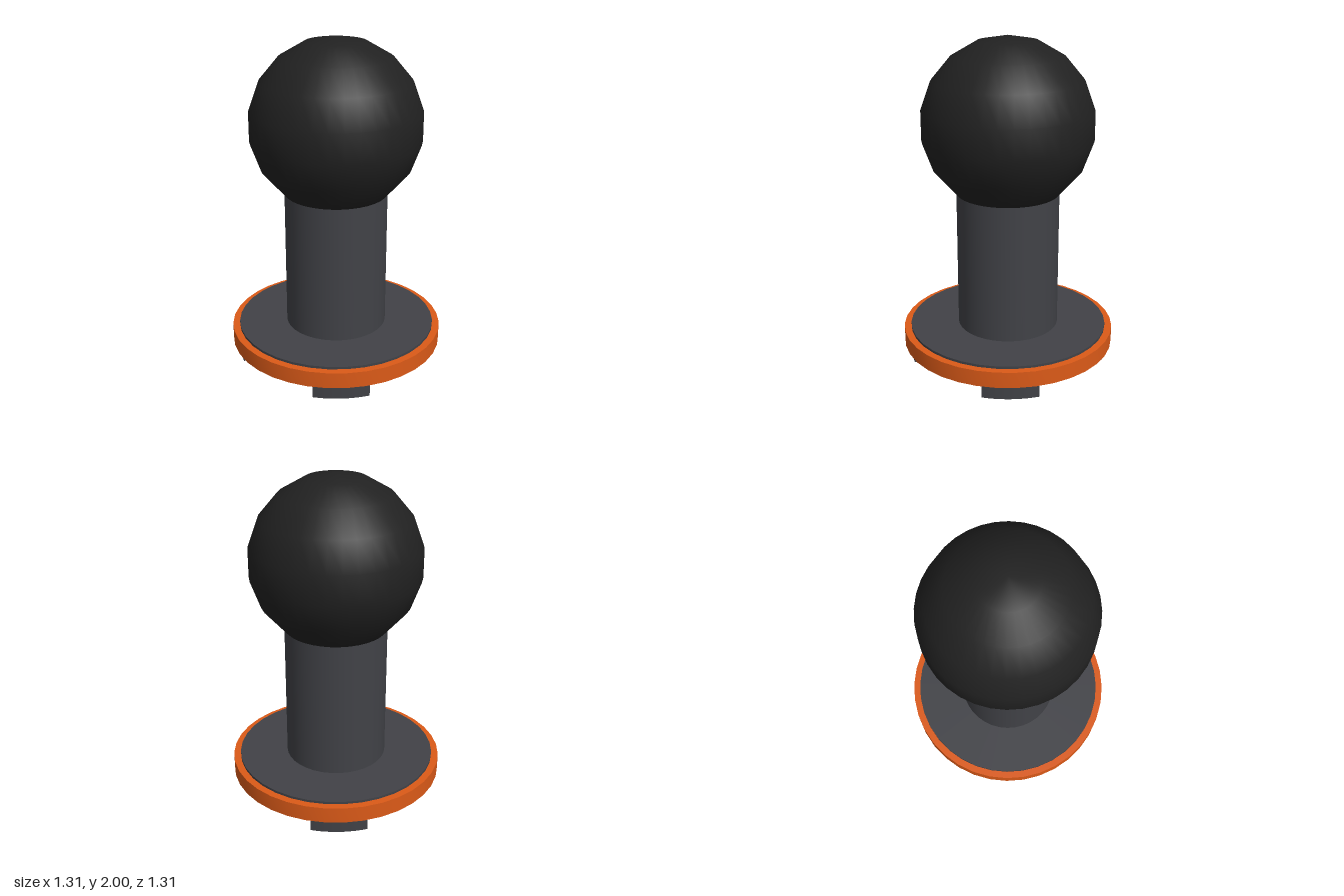
import * as THREE from 'three';
import { toCreasedNormals } from 'three/addons/utils/BufferGeometryUtils.js';

const SEG = 36;
const rad = THREE.MathUtils.degToRad;
const material = (color) => new THREE.MeshStandardMaterial({ color });

// Closed or open profile of [radius, height] pairs turned round the y axis
function turned(points, creaseAngle = 0.6) {
  const profile = points.map(([r, y]) => new THREE.Vector2(r, y));
  return toCreasedNormals(new THREE.LatheGeometry(profile, SEG), creaseAngle);
}

// Plan outline (x, z) extruded downwards from height top to height bottom
function slab(shape, top, bottom, curveSegments = SEG) {
  const geometry = new THREE.ExtrudeGeometry(shape, { depth: top - bottom, bevelEnabled: false, curveSegments });
  geometry.rotateX(Math.PI / 2).translate(0, top, 0);
  return toCreasedNormals(geometry, 0.6);
}

function circlePath(r, cx = 0, cz = 0) {
  return new THREE.Path().absarc(cx, cz, r, 0, Math.PI * 2, true);
}

export function createModel() {
  const model = new THREE.Group();
  const black = material(0x212121);
  const charcoal = material(0x414247);
  const orange = material(0xdb5a18);
  const steel = material(0x9a9a9a);

  function add(name, geometry, mat, parent = model) {
    const mesh = new THREE.Mesh(geometry, mat);
    mesh.name = name;
    parent.add(mesh);
    return mesh;
  }

  // Ball: coarse rings every 20 degrees, cut off where it meets the stem
  const ballProfile = [[0.0, 1.06], [0.31, 1.06]];
  for (let a = 120; a >= 0; a -= 20) {
    ballProfile.push([0.52 * Math.sin(rad(a)), 1.48 + 0.52 * Math.cos(rad(a))]);
  }
  add('ball', turned(ballProfile), black);

  // Stem and the flange disc it stands on
  add('stem', new THREE.CylinderGeometry(0.312, 0.312, 0.86, SEG).translate(0, 0.635, 0), charcoal);
  add('flange', turned([[0, 0.18], [0.612, 0.18], [0.612, 0.213], [0, 0.213]]), charcoal);

  // Coloured rim ring
  add('rimRing', turned([[0.612, 0.1], [0.655, 0.1], [0.655, 0.198], [0.612, 0.198], [0.612, 0.1]]), orange);

  // Underside plate with a recessed centre and alternating large and small holes
  const plate = new THREE.Shape().absarc(0, 0, 0.565, 0, Math.PI * 2, false);
  plate.holes.push(circlePath(0.275));
  for (let i = 0; i < 8; i++) {
    const a = rad(40 + i * 45);
    plate.holes.push(circlePath(i % 2 ? 0.045 : 0.033, 0.44 * Math.cos(a), 0.44 * Math.sin(a)));
  }
  add('basePlate', slab(plate, 0.18, 0.08), charcoal);
  add('holeFloor', new THREE.CylinderGeometry(0.55, 0.55, 0.05, SEG).translate(0, 0.145, 0), charcoal);
  add('centrePlate', new THREE.CylinderGeometry(0.276, 0.276, 0.08, SEG).translate(0, 0.132, 0), charcoal);

  // Four locking lugs
  const lugs = new THREE.Group();
  lugs.name = 'lockingLugs';
  model.add(lugs);
  const lug = new THREE.Shape();
  lug.absarc(0, 0, 0.61, rad(6.6), rad(38.5), false);
  lug.absarc(0, 0, 0.5, rad(38.5), rad(6.6), true);
  lug.closePath();
  const lugGeometry = slab(lug, 0.18, 0, 6);
  for (let i = 0; i < 4; i++) {
    add('lug', lugGeometry, charcoal, lugs).rotation.y = i * Math.PI / 2;
  }

  // Circle of small screws in the centre plate
  const screws = new THREE.Group();
  screws.name = 'centreScrews';
  model.add(screws);
  const screwGeometry = new THREE.CylinderGeometry(0.019, 0.019, 0.03, 12);
  for (let i = 0; i < 10; i++) {
    const a = rad(36 * i + 9);
    add('screw', screwGeometry, charcoal, screws).position.set(0.19 * Math.cos(a), 0.087, 0.19 * Math.sin(a));
  }

  // Index pin with a chamfered tip
  const pin = add('indexPin', turned([[0, 0.028], [0.026, 0.028], [0.035, 0.037], [0.035, 0.1], [0, 0.1]]), steel);
  pin.position.set(0.355, 0, 0.05);

  return model;
}
